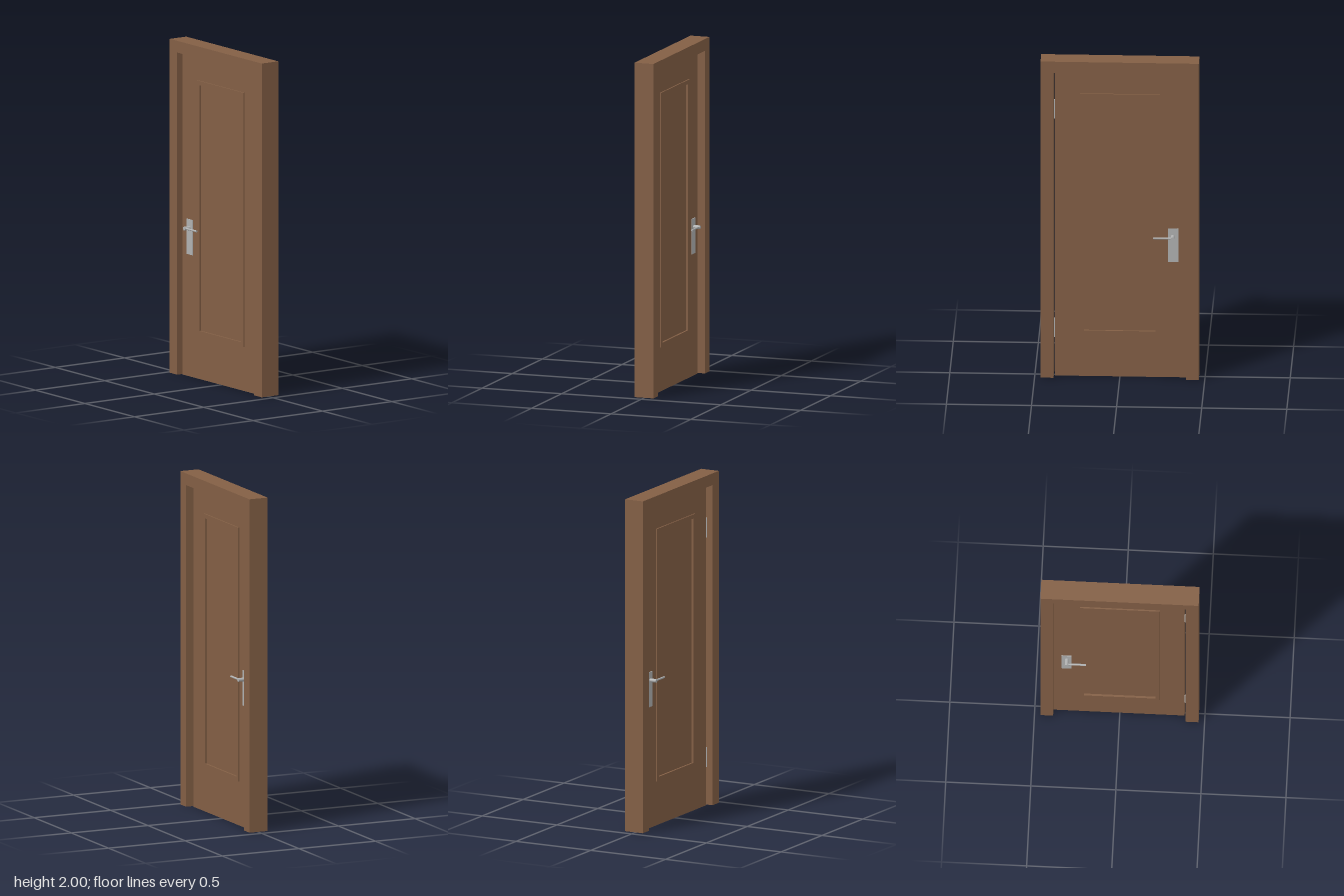
import * as THREE from 'three';

export function createModel() {
  const model = new THREE.Group();
  model.name = 'panelDoor';
  const wood = new THREE.MeshStandardMaterial({ color: 0x835f45 });
  wood.name = 'brown wood';
  const metal = new THREE.MeshStandardMaterial({ color: 0xb0b1b1 });
  metal.name = 'brushed metal';

  function add(parent, name, geometry, material, x = 0, y = 0, z = 0) {
    const mesh = new THREE.Mesh(geometry, material);
    mesh.name = name;
    mesh.position.set(x, y, z);
    parent.add(mesh);
    return mesh;
  }

  const rectPoints = (x0, y0, x1, y1) => [
    new THREE.Vector2(x0, y0), new THREE.Vector2(x1, y0),
    new THREE.Vector2(x1, y1), new THREE.Vector2(x0, y1),
  ];
  // Flat board with a rectangular opening
  function ring(outer, inner, depth) {
    const shape = new THREE.Shape(rectPoints(...outer));
    shape.holes.push(new THREE.Path(rectPoints(...inner).reverse()));
    return new THREE.ExtrudeGeometry(shape, { depth, bevelEnabled: false });
  }

  // Frame: two jambs and a lintel in one U-shaped outline
  const outline = [[-0.465, 0.003], [-0.39, 0.003], [-0.39, 1.93], [0.388, 1.93],
    [0.388, 0.003], [0.465, 0.003], [0.465, 2], [-0.465, 2]];
  const frame = new THREE.Shape(outline.map(([x, y]) => new THREE.Vector2(x, y)));
  add(model, 'doorFrame', new THREE.ExtrudeGeometry(frame, { depth: 0.119, bevelEnabled: false }),
    wood, 0, 0, -0.063);

  // Door leaf: surround, thinner centre panel and raised mouldings
  const leaf = new THREE.Group();
  leaf.name = 'doorLeaf';
  model.add(leaf);
  const half = 0.017;
  const opening = [-0.21, 0.29, 0.21, 1.76];
  add(leaf, 'leafSurround', ring([-0.389, 0, 0.381, 1.92], opening, half * 2), wood, 0, 0, -half);
  add(leaf, 'centrePanel', new THREE.BoxGeometry(0.42, 1.47, 0.026), wood, 0, 1.025, 0);
  for (const side of [1, -1]) {
    const name = side > 0 ? 'front' : 'back';
    add(leaf, name + 'Moulding', ring([-0.235, 0.265, 0.235, 1.785], opening, 0.008),
      wood, 0, 0, side > 0 ? half : -half - 0.008);

    // Handle set: backplate, round stem and lever
    const handle = new THREE.Group();
    handle.name = name + 'Handle';
    leaf.add(handle);
    add(handle, 'backplate', new THREE.BoxGeometry(0.06, 0.21, 0.005), metal,
      -0.314, 0.835, side * (half + 0.0025));
    add(handle, 'stem', new THREE.CylinderGeometry(0.011, 0.011, 0.042, 20), metal,
      -0.311, 0.89, side * 0.042).rotation.x = Math.PI / 2;
    add(handle, 'lever', new THREE.CylinderGeometry(0.006, 0.006, 0.115, 16), metal,
      -0.255, 0.89, side * 0.053).rotation.z = Math.PI / 2;
  }

  // Hinges in the gap beside the right-hand jamb
  for (const y of [0.29, 1.67]) {
    add(model, 'hinge', new THREE.CylinderGeometry(0.004, 0.004, 0.12, 12), metal,
      0.385, y, half);
  }
  return model;
}
